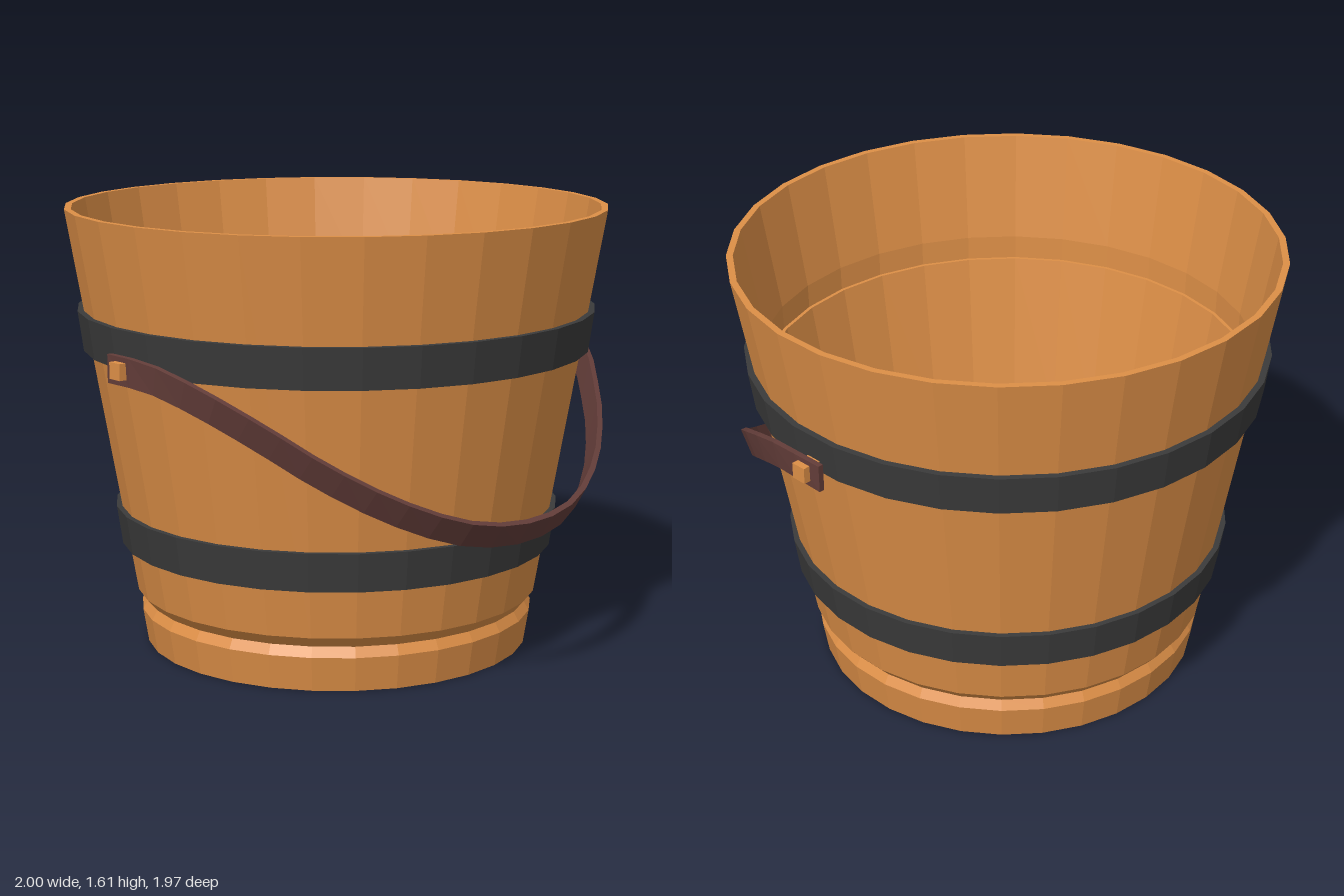
import * as THREE from 'three';

const SIDES = 30;
const TUB_X = 0.006;
const wood = new THREE.MeshStandardMaterial({ color: 0xdd8f47 });
wood.name = 'wood';
const iron = new THREE.MeshStandardMaterial({ color: 0x3b3b3b });
iron.name = 'iron';
const leather = new THREE.MeshStandardMaterial({ color: 0x633d39 });
leather.name = 'leather';

// Faceted mesh: one normal per face
function facet(name, geometry, material) {
  const g = geometry.index ? geometry.toNonIndexed() : geometry;
  g.computeVertexNormals();
  const mesh = new THREE.Mesh(g, material);
  mesh.name = name;
  return mesh;
}

function turned(name, profile, material) {
  const points = profile.map(([r, y]) => new THREE.Vector2(r, y));
  const mesh = facet(name, new THREE.LatheGeometry(points, SIDES), material);
  mesh.position.x = TUB_X;
  return mesh;
}

// Flat strap: a thin rectangle swept along a path, kept tilted like the hanging handle
function strapGeometry(path, width, thickness, steps) {
  const positions = [], index = [];
  const tilt = new THREE.Vector3(0, 0.84, 0.54);
  for (let i = 0; i <= steps; i++) {
    const p = path.getPointAt(i / steps), t = path.getTangentAt(i / steps);
    const w = tilt.clone().addScaledVector(t, -tilt.dot(t)).normalize();
    const n = new THREE.Vector3().crossVectors(t, w);
    for (const [a, b] of [[-1, -1], [1, -1], [1, 1], [-1, 1]]) {
      const v = p.clone().addScaledVector(w, a * width / 2).addScaledVector(n, b * thickness / 2);
      positions.push(v.x, v.y, v.z);
    }
  }
  for (let i = 0; i < steps; i++) {
    for (let k = 0; k < 4; k++) {
      const a = i * 4 + k, b = i * 4 + (k + 1) % 4;
      index.push(a, b, b + 4, a, b + 4, a + 4);
    }
  }
  const e = steps * 4;
  index.push(0, 2, 1, 0, 3, 2, e, e + 1, e + 2, e, e + 2, e + 3);
  const g = new THREE.BufferGeometry();
  g.setAttribute('position', new THREE.Float32BufferAttribute(positions, 3));
  g.setIndex(index);
  return g;
}

export function createModel() {
  const bucket = new THREE.Group();
  bucket.name = 'bucket';

  // Tub: outside wall with foot groove, rim, inside wall with two ledges, floor
  bucket.add(turned('tub', [
    [0, 0], [0.708, 0], [0.728, 0.125], [0.708, 0.16], [0.742, 0.2], [0.982, 1.61],
    [0.958, 1.61], [0.892, 1.21], [0.89, 1.12], [0.877, 1.12],
    [0.772, 0.5], [0.77, 0.41], [0.757, 0.41],
    [0.716, 0.2], [0.68, 0.16], [0.69, 0.125], [0, 0.125],
  ], wood));

  // Iron hoops
  const hoop = (name, y0, r0, y1, r1) => turned(name, [
    [r0 - 0.03, y0], [r0, y0], [r1, y1], [r1 - 0.03, y1], [r0 - 0.03, y0],
  ], iron);
  bucket.add(hoop('upperHoop', 1.1, 0.923, 1.245, 0.943));
  bucket.add(hoop('lowerHoop', 0.38, 0.797, 0.52, 0.817));

  // Hanging strap handle, sagging slightly toward the left
  const half = [
    [0.965, 1.115, -0.06], [0.965, 1.115, 0.02], [0.955, 1.11, 0.13], [0.925, 1.075, 0.27],
    [0.865, 1.01, 0.42], [0.775, 0.925, 0.54], [0.65, 0.81, 0.68],
    [0.46, 0.685, 0.825], [0.24, 0.597, 0.92],
  ];
  const sag = ([x, y, z]) => new THREE.Vector3(x + 0.03 * (1.115 - y) / 0.55, y, z);
  const points = [
    ...half.map(([x, y, z]) => sag([-x, y, z])),
    sag([0, 0.57, 0.95]),
    ...half.map(sag).reverse(),
  ];
  const path = new THREE.CatmullRomCurve3(points, false, 'centripetal');
  bucket.add(facet('handleStrap', strapGeometry(path, 0.1, 0.02, 28), leather));

  // Square pegs holding the strap ends
  for (const side of [1, -1]) {
    const peg = facet(side > 0 ? 'leftPeg' : 'rightPeg', new THREE.BoxGeometry(0.09, 0.058, 0.058), wood);
    peg.position.set(side * 0.955, 1.118, 0.015);
    bucket.add(peg);
  }
  return bucket;
}
